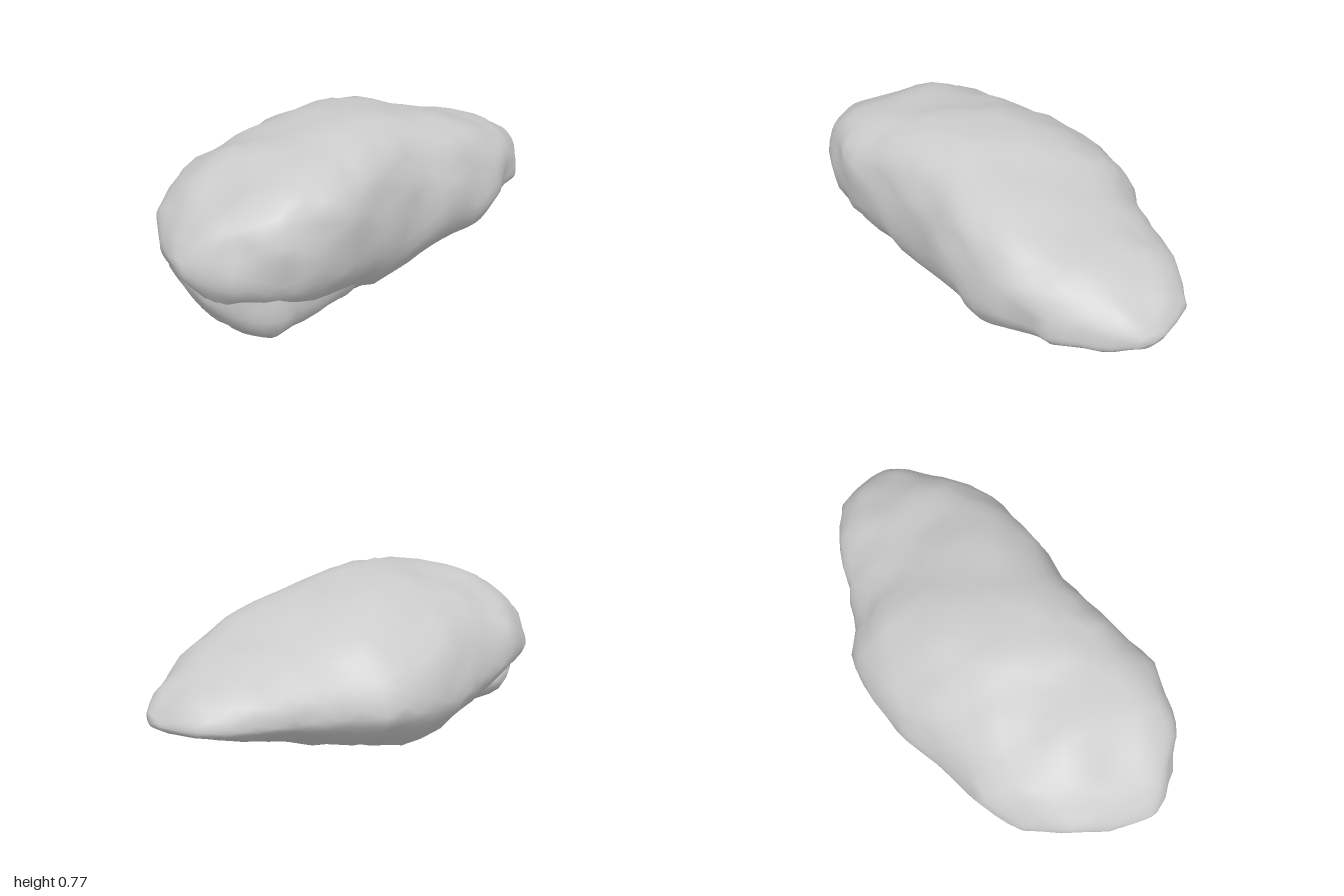
import * as THREE from 'three';

// Seeded lattice noise, range -1..1
function hash(i, j, k) {
  let h = Math.imul(i, 374761393) ^ Math.imul(j, 668265263) ^ Math.imul(k, 1274126177);
  h = Math.imul(h ^ (h >>> 13), 1103515245);
  return (((h ^ (h >>> 16)) >>> 0) / 4294967295) * 2 - 1;
}
function noise(x, y, z) {
  const i = Math.floor(x), j = Math.floor(y), k = Math.floor(z);
  const s = (t) => t * t * (3 - 2 * t), L = THREE.MathUtils.lerp;
  const u = s(x - i), v = s(y - j), w = s(z - k);
  const row = (b, c) => L(hash(i, j + b, k + c), hash(i + 1, j + b, k + c), u);
  return L(L(row(0, 0), row(1, 0), v), L(row(0, 1), row(1, 1), v), w);
}

// Cross-sections along x: [x, top, bottom, zBack, zFront, yWideBack, yWideFront]
const BODY = [
  [-0.99, 0.43, 0.38, 0.12, 0.22, 0.41, 0.41],
  [-0.95, 0.51, 0.31, -0.02, 0.31, 0.41, 0.42],
  [-0.88, 0.57, 0.23, -0.17, 0.40, 0.41, 0.43],
  [-0.78, 0.63, 0.17, -0.29, 0.47, 0.40, 0.45],
  [-0.64, 0.71, 0.13, -0.37, 0.52, 0.39, 0.47],
  [-0.48, 0.74, 0.10, -0.42, 0.54, 0.38, 0.48],
  [-0.30, 0.765, 0.07, -0.47, 0.50, 0.37, 0.45],
  [-0.16, 0.78, 0.02, -0.51, 0.47, 0.36, 0.42],
  [0.05, 0.765, 0.03, -0.545, 0.44, 0.36, 0.39],
  [0.26, 0.715, 0.09, -0.52, 0.44, 0.37, 0.38],
  [0.38, 0.675, 0.13, -0.43, 0.44, 0.37, 0.37],
  [0.52, 0.63, 0.195, -0.39, 0.42, 0.37, 0.36],
  [0.70, 0.58, 0.265, -0.34, 0.33, 0.38, 0.36],
  [0.82, 0.52, 0.29, -0.28, 0.25, 0.38, 0.37],
  [0.94, 0.455, 0.31, -0.18, 0.14, 0.38, 0.37],
  [0.99, 0.40, 0.34, -0.06, 0.08, 0.37, 0.37],
];
// Smaller foot under the left-hand end of the overhang
const FOOT = [
  [-0.92, 0.36, 0.24, 0.02, 0.26, 0.3, 0.3],
  [-0.86, 0.42, 0.14, -0.12, 0.35, 0.27, 0.28],
  [-0.77, 0.44, 0.06, -0.20, 0.42, 0.24, 0.24],
  [-0.69, 0.44, 0.015, -0.24, 0.44, 0.22, 0.20],
  [-0.50, 0.42, 0.04, -0.25, 0.44, 0.22, 0.22],
  [-0.30, 0.38, 0.055, -0.24, 0.41, 0.22, 0.22],
  [-0.16, 0.30, 0.09, -0.12, 0.30, 0.2, 0.2],
];

// One rounded ring; each quadrant has its own fullness
function ringPoint(s, a) {
  const [x, top, bottom, zb, zf, yb, yf] = s;
  const c = Math.cos(a), n = Math.sin(a);
  const zMid = zb + (zf - zb) * (n > 0 ? 0.66 : 0.6);
  const e = n > 0 ? (c > 0 ? 2.4 : 2.1) : (c > 0 ? 2.3 : 1.75);
  const pc = Math.abs(c) ** (2 / e), pn = Math.abs(n) ** (2 / e);
  const wide = THREE.MathUtils.lerp((yb + yf) / 2, c > 0 ? yf : yb, pc);
  return new THREE.Vector3(
    x,
    wide + (n > 0 ? top - wide : bottom - wide) * pn,
    zMid + (c > 0 ? zf - zMid : zb - zMid) * pc,
  );
}

// Loft through the sections, then roughen the skin
function rockGeometry(sections, rows, cols, rough) {
  const pos = [], index = [];
  const first = sections[0], last = sections[sections.length - 1];
  const sectionAt = (x) => {
    let i = 0;
    while (i < sections.length - 2 && sections[i + 1][0] < x) i++;
    const a = sections[i], b = sections[i + 1], t = (x - a[0]) / (b[0] - a[0]);
    return a.map((v, k) => THREE.MathUtils.lerp(v, b[k], t));
  };
  const roughen = (p, mid) => {
    const d = p.clone().sub(mid).normalize();
    const f = noise(p.x * 5 + 9, p.y * 6 + 4, p.z * 5 + 7) * 0.6
      + noise(p.x * 11 + 3, p.y * 13, p.z * 11 + 5) * 0.6;
    p.addScaledVector(d, f * rough);
    p.x += noise(p.z * 8, p.y * 8, p.x * 8 + 20) * rough * 0.8;
    p.x = THREE.MathUtils.clamp(p.x, -1, 1);
    p.y = Math.max(p.y, 0);
    pos.push(p.x, p.y, p.z);
  };
  for (let i = 0; i < rows; i++) {
    // Rows gather towards both ends
    const t = 0.5 - 0.5 * Math.cos((Math.PI * i) / (rows - 1));
    const s = sectionAt(THREE.MathUtils.lerp(first[0], last[0], (t + i / (rows - 1)) / 2));
    const mid = new THREE.Vector3(s[0], (s[1] + s[2]) / 2, (s[3] + s[4]) / 2);
    for (let j = 0; j < cols; j++) {
      roughen(ringPoint(s, ((j + (i % 2) * 0.5) / cols) * Math.PI * 2), mid);
    }
  }
  for (let i = 0; i < rows - 1; i++) {
    for (let j = 0; j < cols; j++) {
      const k = (j + 1) % cols;
      const a = i * cols + j, b = i * cols + k, c = a + cols, d = b + cols;
      if (i % 2) index.push(a, d, b, a, c, d);
      else index.push(a, c, b, b, c, d);
    }
  }
  // Blunt end tips
  for (const [s, row, dx] of [[first, 0, -0.01], [last, rows - 1, 0.01]]) {
    const tip = pos.length / 3;
    pos.push(s[0] + dx, (s[1] + s[2]) / 2, (s[3] + s[4]) / 2);
    for (let j = 0; j < cols; j++) {
      const a = row * cols + j, b = row * cols + ((j + 1) % cols);
      if (row) index.push(tip, b, a);
      else index.push(tip, a, b);
    }
  }
  const g = new THREE.BufferGeometry();
  g.setAttribute('position', new THREE.Float32BufferAttribute(pos, 3));
  g.setIndex(index);
  // Turn the skin outwards if its signed volume is negative
  let volume = 0;
  const v = (i) => new THREE.Vector3().fromArray(pos, i * 3);
  for (let i = 0; i < index.length; i += 3) {
    volume += v(index[i]).dot(v(index[i + 1]).cross(v(index[i + 2])));
  }
  if (volume < 0) g.setIndex(index.reverse());
  g.computeVertexNormals();
  return g;
}

export function createModel() {
  const group = new THREE.Group();
  group.name = 'rock';
  const stone = new THREE.MeshStandardMaterial({ color: 0xcccccc, roughness: 1, side: THREE.DoubleSide });
  const add = (name, geometry) => {
    const mesh = new THREE.Mesh(geometry, stone);
    mesh.name = name;
    group.add(mesh);
  };
  add('boulder', rockGeometry(BODY, 34, 36, 0.024));
  add('lowerLedge', rockGeometry(FOOT, 16, 24, 0.02));
  return group;
}
